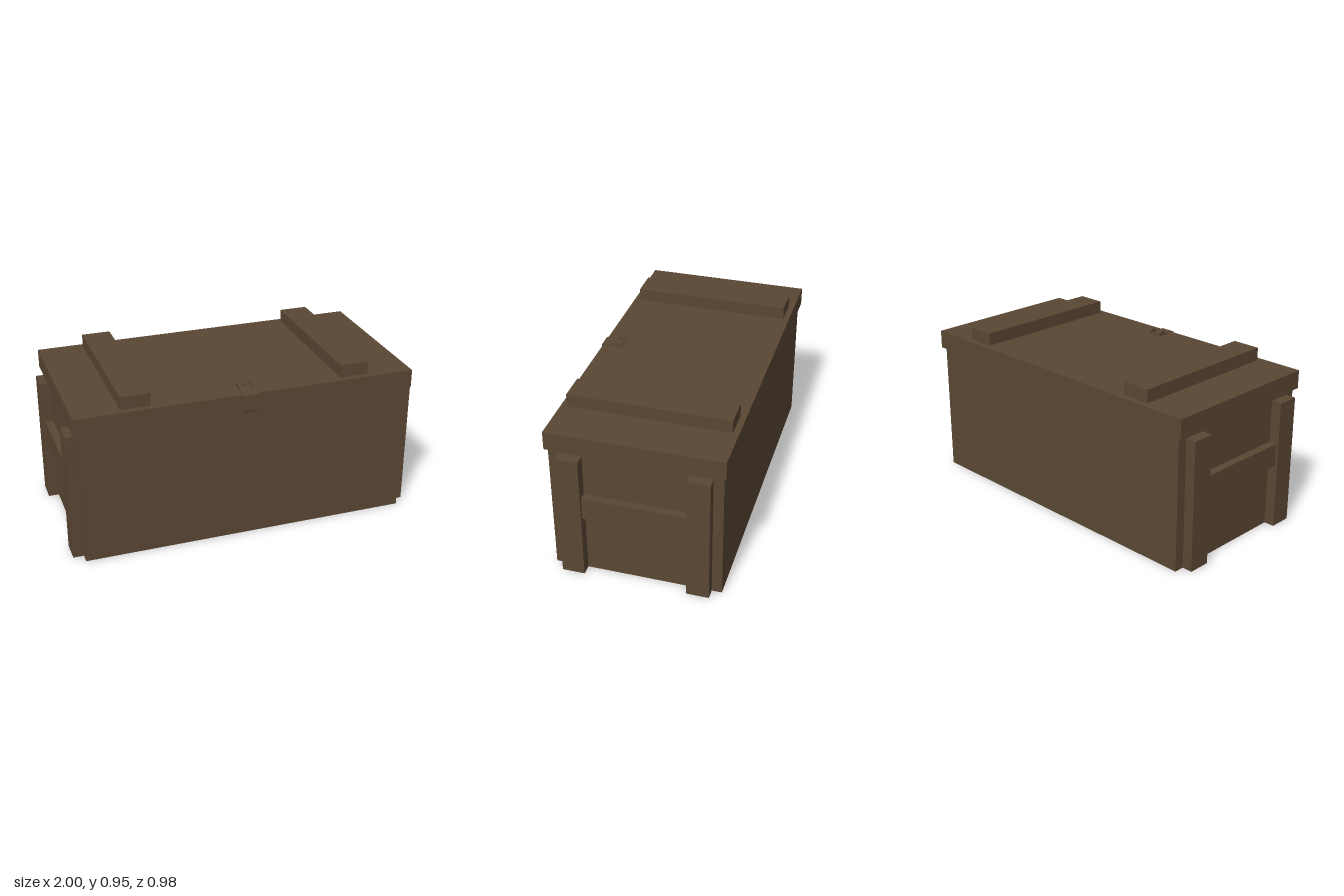
import * as THREE from 'three';

export function createModel() {
  const crate = new THREE.Group();
  crate.name = 'crate';
  const wood = new THREE.MeshStandardMaterial({ color: 0x5a4734 });
  wood.name = 'brown wood';

  // Box given by its limits on each axis
  function box(name, x0, x1, y0, y1, z0, z1, parent = crate) {
    const mesh = new THREE.Mesh(new THREE.BoxGeometry(x1 - x0, y1 - y0, z1 - z0), wood);
    mesh.position.set((x0 + x1) / 2, (y0 + y1) / 2, (z0 + z1) / 2);
    mesh.name = name;
    parent.add(mesh);
    return mesh;
  }

  // Side profile in (z, y), extruded across x and centred on x
  function profile(name, shape, width, x, parent) {
    const geo = new THREE.ExtrudeGeometry(shape, { depth: width, bevelEnabled: false, curveSegments: 6 });
    geo.translate(0, 0, -width / 2);
    geo.rotateY(-Math.PI / 2);
    const mesh = new THREE.Mesh(geo, wood);
    mesh.position.x = x;
    mesh.name = name;
    parent.add(mesh);
  }

  // Chest and overhanging lid
  box('body', -0.94, 0.94, 0, 0.768, -0.472, 0.466);
  box('lid', -0.965, 0.965, 0.767, 0.872, -0.487, 0.479);

  // Mirrored lid battens, end posts and carrying rails
  for (const s of [-1, 1]) {
    const span = (a, b) => (s > 0 ? [a, b] : [-b, -a]);
    box('lidBatten', ...span(0.542, 0.706), 0.87, 0.946, -0.453, 0.444);
    box('frontPost', ...span(0.935, 1), 0, 0.741, 0.283, 0.409);
    box('backPost', ...span(0.935, 1), 0, 0.741, -0.416, -0.29);
    box('carryRail', ...span(0.935, 0.985), 0.37, 0.501, -0.295, 0.288);
  }

  // Latch: bent plate over the lid edge
  const latch = new THREE.Group();
  latch.name = 'latch';
  crate.add(latch);
  const plate = new THREE.Shape();
  plate.moveTo(0.477, 0.77);
  plate.lineTo(0.484, 0.77);
  plate.quadraticCurveTo(0.489, 0.775, 0.488, 0.79);
  plate.lineTo(0.488, 0.866);
  plate.quadraticCurveTo(0.488, 0.878, 0.476, 0.878);
  plate.lineTo(0.405, 0.878);
  plate.lineTo(0.405, 0.87);
  plate.lineTo(0.477, 0.87);
  profile('latchPlate', plate, 0.078, 0, latch);

  // Upright ears holding the hinge pin
  const ear = new THREE.Shape();
  ear.moveTo(0.42, 0.87);
  ear.lineTo(0.42, 0.88);
  ear.quadraticCurveTo(0.405, 0.897, 0.385, 0.897);
  ear.quadraticCurveTo(0.365, 0.897, 0.357, 0.87);
  for (const s of [-1, 1]) profile('latchEar', ear, 0.006, s * 0.037, latch);
  box('latchBase', -0.036, 0.036, 0.87, 0.876, 0.357, 0.41, latch);

  // Small arched catch between the ears
  const arch = new THREE.Mesh(new THREE.TorusGeometry(0.018, 0.004, 6, 10, Math.PI), wood);
  arch.rotation.x = -Math.PI / 2;
  arch.position.set(0, 0.878, 0.388);
  arch.name = 'latchCatch';
  latch.add(arch);

  return crate;
}
